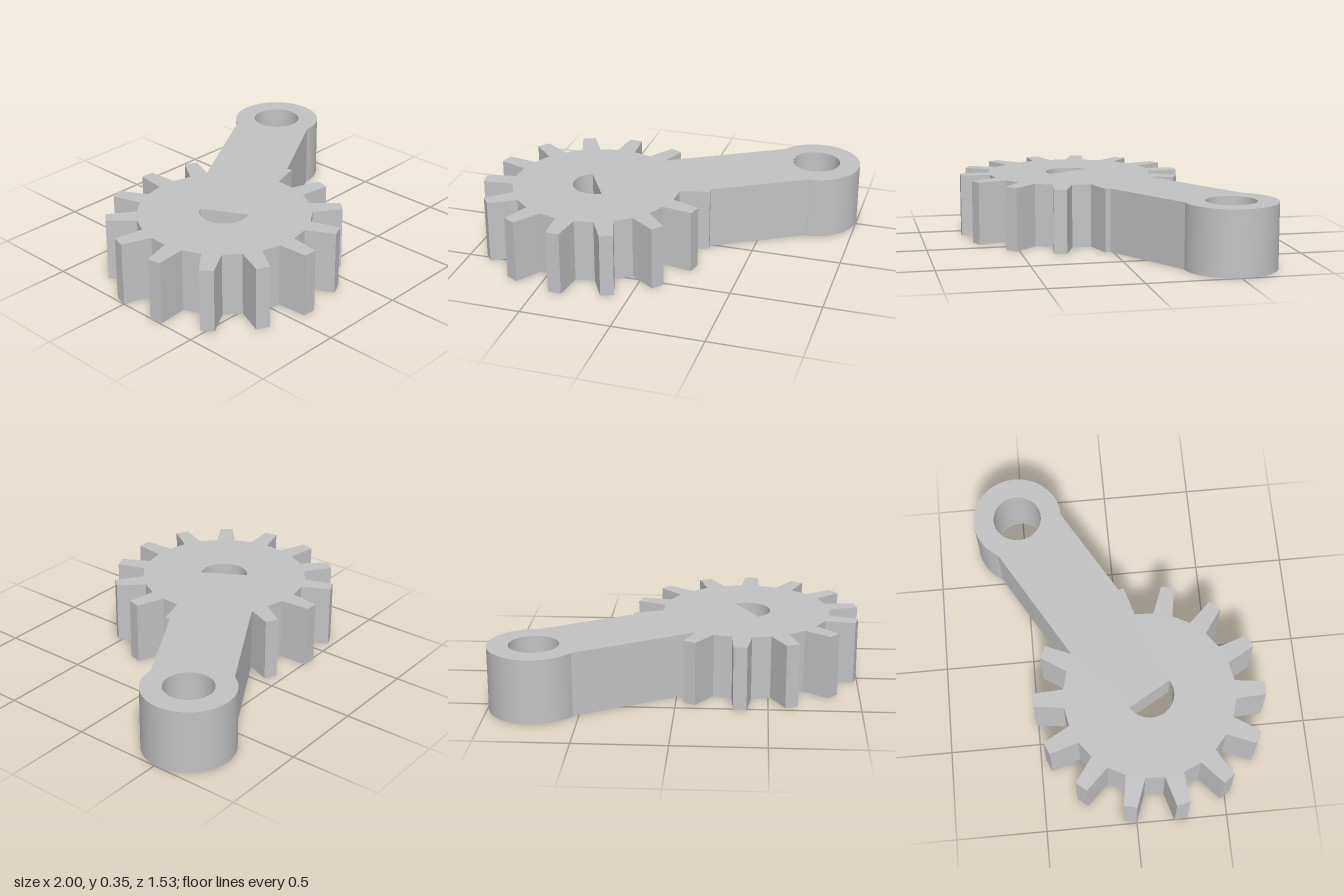
import * as THREE from 'three';
import { mergeGeometries, toCreasedNormals } from 'three/addons/utils/BufferGeometryUtils.js';

const HEIGHT = 0.355, POCKET = 0.147, SEGMENTS = 40;
const REACH = 1.293, EYE_R = 0.25, ARM_HALF = 0.217, BORE = 0.135;

// Flat face at a given height, facing up or down
function cap(outline, holes, y, up) {
  const shape = outline.clone();
  shape.holes = holes;
  let g = new THREE.ShapeGeometry(shape, SEGMENTS).toNonIndexed();
  g.rotateX(-Math.PI / 2).translate(0, y, 0);
  g.deleteAttribute('uv');
  if (!up) {
    const p = g.attributes.position, a = new THREE.Vector3(), b = new THREE.Vector3();
    for (let i = 0; i < p.count; i += 3) {
      a.fromBufferAttribute(p, i + 1);
      b.fromBufferAttribute(p, i + 2);
      p.setXYZ(i + 1, b.x, b.y, b.z);
      p.setXYZ(i + 2, a.x, a.y, a.z);
    }
    g.computeVertexNormals();
  }
  return g;
}

// Vertical wall along a counter-clockwise outline; inward for holes
function wall(outline, y0, y1, inward) {
  const pts = outline.getPoints(SEGMENTS);
  if (inward) pts.reverse();
  const v = [];
  pts.forEach((a, i) => {
    const b = pts[(i + 1) % pts.length];
    if (a.distanceTo(b) < 1e-5) return;
    v.push(a.x, y0, -a.y, b.x, y0, -b.y, b.x, y1, -b.y);
    v.push(a.x, y0, -a.y, b.x, y1, -b.y, a.x, y1, -a.y);
  });
  const g = new THREE.BufferGeometry();
  g.setAttribute('position', new THREE.Float32BufferAttribute(v, 3));
  return toCreasedNormals(g, 0.4);
}

// Gear and arm outline, with the arm along +x
function bodyOutline() {
  const s = new THREE.Shape();
  const step = Math.PI * 2 / 14, first = step * 1.25;
  s.moveTo(0.439, ARM_HALF);
  for (let k = 0; k <= 12; k++) {
    const a = first + k * step, c = Math.cos(a), n = Math.sin(a);
    const corners = [[0.47, -0.053], [0.637, -0.037], [0.637, 0.037], [0.47, 0.053]];
    corners.forEach(([r, w], i) => {
      if ((k === 0 && i === 0) || (k === 12 && i > 1)) return;
      s.lineTo(r * c - w * n, r * n + w * c);
    });
  }
  s.lineTo(0.6, -ARM_HALF);
  const join = Math.PI - Math.asin(ARM_HALF / EYE_R);
  s.absarc(REACH, 0, EYE_R, -join, join, false);
  s.closePath();
  return s;
}

// Round hub recess with a tapered slot running into the arm
function pocketOutline() {
  const s = new THREE.Shape(), open = Math.asin(0.172 / 0.254);
  s.absarc(0, 0, 0.254, open, Math.PI * 2 - open, false);
  s.absarc(0.887, 0, 0.128, -1.51, 1.51, false);
  s.closePath();
  return s;
}

export function createModel() {
  const steel = new THREE.MeshStandardMaterial({ color: 0xc2c2c2 });
  steel.name = 'light grey';

  const body = bodyOutline();
  const pocket = pocketOutline();
  const eye = new THREE.Shape().absarc(REACH, 0, BORE, 0, Math.PI * 2, false);
  // Half-round shaft hole on the side away from the arm
  const shaft = new THREE.Shape().absarc(0, 0, BORE, Math.PI / 2, Math.PI * 1.5, false);
  shaft.closePath();

  const model = new THREE.Group();
  model.name = 'gearLever';
  const lever = new THREE.Group();
  lever.name = 'lever';
  lever.rotation.y = Math.PI / 6;
  lever.position.set(-0.372, 0, 0.127);
  model.add(lever);

  const add = (name, parts) => {
    const mesh = new THREE.Mesh(mergeGeometries(parts), steel);
    mesh.name = name;
    lever.add(mesh);
  };
  add('gearAndArmBody', [
    wall(body, 0, HEIGHT, false),
    cap(body, [eye, shaft], HEIGHT, true),
    cap(body, [eye, pocket], 0, false),
  ]);
  add('armEyeBore', [wall(eye, 0, HEIGHT, true)]);
  add('shaftHole', [wall(shaft, POCKET, HEIGHT, true)]);
  add('undersidePocket', [
    wall(pocket, 0, POCKET, true),
    cap(pocket, [shaft], POCKET, false),
  ]);
  return model;
}
